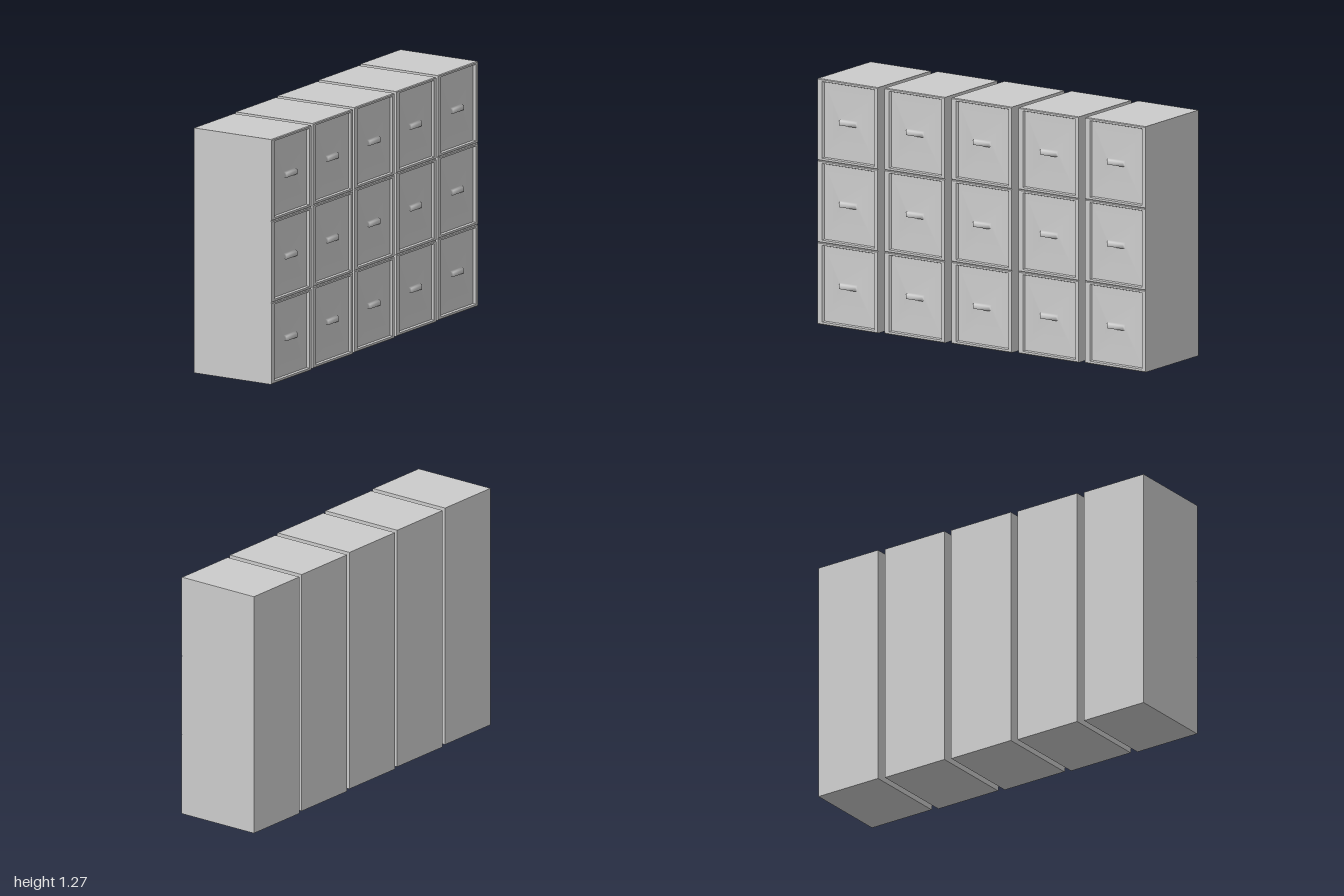
import * as THREE from 'three';

const COLUMNS = 5, DRAWERS = 3, PITCH = 0.404, TURN = -0.03;
const DEPTH = 0.465, WIDTH = 0.37, UNIT = 1.27 / 3;
const FRONT = DEPTH / 2, BODY_FRONT = FRONT - 0.016, PANEL = FRONT - 0.012;

// Skin over nested rectangles [x, y0, y1, z0, z1], running from outer to inner
function nestedRects(rects, smooth, cap) {
  const pos = [], idx = [];
  for (const [x, y0, y1, z0, z1] of rects) pos.push(x, y0, z1, x, y0, z0, x, y1, z0, x, y1, z1);
  for (let r = 0; r < rects.length - 1; r++) {
    for (let i = 0; i < 4; i++) {
      const a = r * 4 + i, b = r * 4 + (i + 1) % 4;
      idx.push(a, b, b + 4, a, b + 4, a + 4);
    }
  }
  if (cap) {
    const l = (rects.length - 1) * 4;
    idx.push(l, l + 1, l + 2, l, l + 2, l + 3);
  }
  let geo = new THREE.BufferGeometry();
  geo.setAttribute('position', new THREE.Float32BufferAttribute(pos, 3));
  geo.setIndex(idx);
  if (!smooth) geo = geo.toNonIndexed();
  geo.computeVertexNormals();
  return geo;
}

export function createModel() {
  const model = new THREE.Group();
  model.name = 'filingCabinets';
  const grey = new THREE.MeshStandardMaterial({ color: 0xcccccc });
  const half = WIDTH / 2;

  const bodyGeo = new THREE.BoxGeometry(BODY_FRONT + FRONT, UNIT, WIDTH);
  bodyGeo.translate((BODY_FRONT - FRONT) / 2, UNIT / 2, 0);

  // Raised rim with a bevel down into the recess
  const frameGeo = nestedRects([
    [BODY_FRONT, 0, UNIT, -half, half],
    [FRONT - 0.004, 0, UNIT, -half, half],
    [FRONT, 0.004, UNIT - 0.004, -half, half],
    [FRONT, 0.014, UNIT - 0.013, -0.166, 0.157],
    [PANEL, 0.018, UNIT - 0.017, -0.16, 0.151],
  ], false, false);

  // Recessed panel flowing softly into the pull handle
  const panelGeo = nestedRects([
    [PANEL, 0.018, UNIT - 0.017, -0.16, 0.151],
    [PANEL, 0.199, 0.229, -0.053, 0.053],
    [FRONT + 0.003, 0.199, 0.223, -0.05, 0.05],
  ], true, true);

  for (let c = 0; c < COLUMNS; c++) {
    const cabinet = new THREE.Group();
    cabinet.name = `cabinet${c + 1}`;
    cabinet.position.z = (c - (COLUMNS - 1) / 2) * PITCH;
    cabinet.rotation.y = TURN;
    for (let d = 0; d < DRAWERS; d++) {
      const drawer = new THREE.Group();
      drawer.name = `drawer${d + 1}`;
      drawer.position.y = d * UNIT;
      const parts = { drawerBody: bodyGeo, frontFrame: frameGeo, panelAndHandle: panelGeo };
      for (const [name, geo] of Object.entries(parts)) {
        const mesh = new THREE.Mesh(geo, grey);
        mesh.name = name;
        drawer.add(mesh);
      }
      cabinet.add(drawer);
    }
    model.add(cabinet);
  }
  return model;
}
